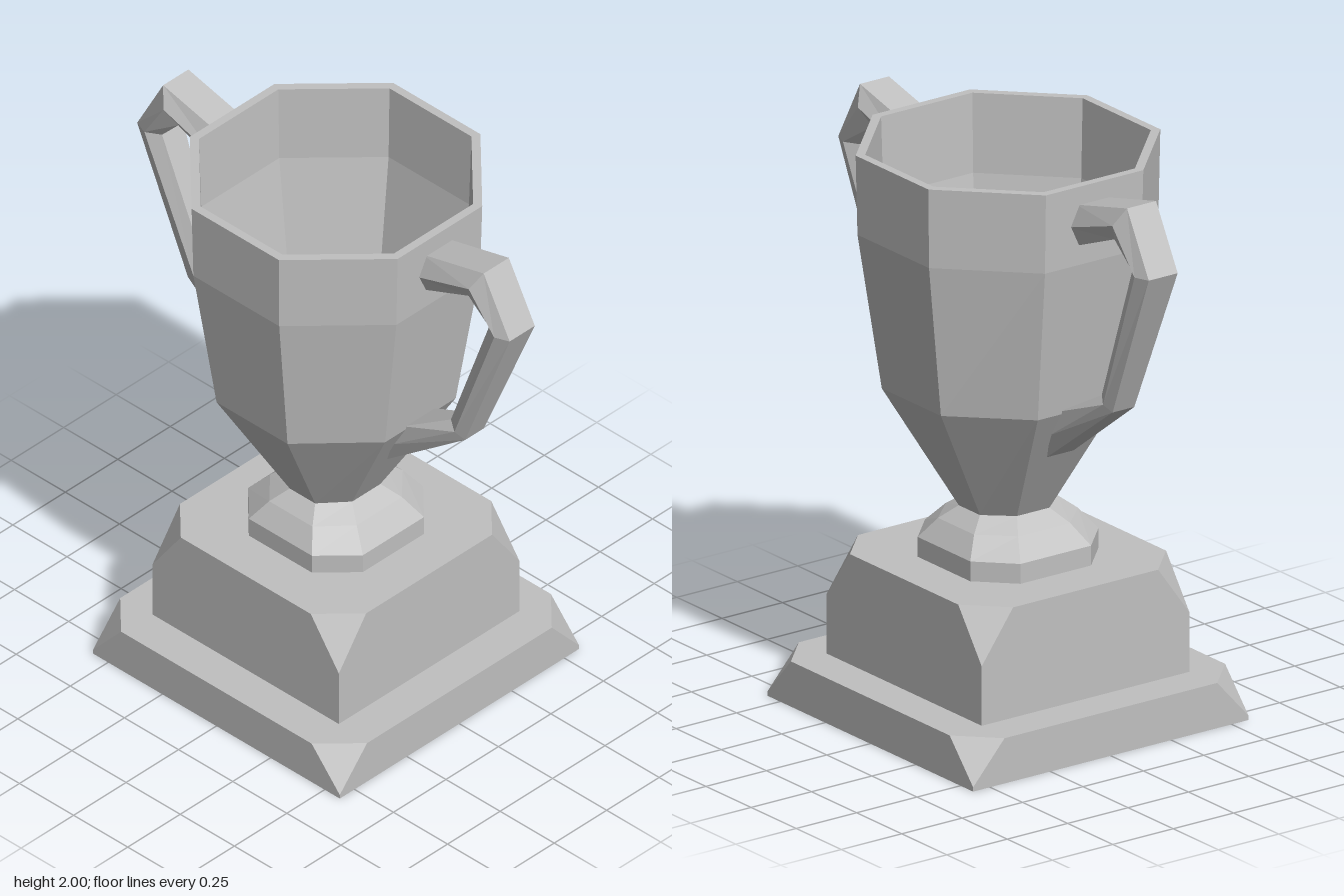
import * as THREE from 'three';
import { ConvexGeometry } from 'three/addons/geometries/ConvexGeometry.js';

// Joins equal-length rings of points into a faceted, capped solid.
function loft(rings) {
  const pos = [];
  const tri = (...pts) => pts.forEach((p) => pos.push(...p));
  const n = rings[0].length;
  for (let i = 0; i < rings.length - 1; i++) {
    for (let j = 0; j < n; j++) {
      const k = (j + 1) % n;
      const a = rings[i][j], b = rings[i][k], c = rings[i + 1][j], d = rings[i + 1][k];
      tri(a, c, b);
      tri(b, c, d);
    }
  }
  const first = rings[0], last = rings[rings.length - 1];
  for (let j = 1; j < n - 1; j++) {
    tri(first[0], first[j], first[j + 1]);
    tri(last[0], last[j + 1], last[j]);
  }
  const geometry = new THREE.BufferGeometry();
  geometry.setAttribute('position', new THREE.Float32BufferAttribute(pos, 3));
  geometry.computeVertexNormals();
  return geometry;
}

// Octagon with flats facing x and z; hx and hz are the half widths.
function octagon(y, hx, hz = hx, corner = 0.42) {
  const cx = hx * corner, cz = hz * corner;
  return [[hx, -cz], [hx, cz], [cx, hz], [-cx, hz], [-hx, cz], [-hx, -cz], [-cx, -hz], [cx, -hz]]
    .map(([x, z]) => [x, y, z]);
}

// Square block whose four top corners are sliced off diagonally.
function cutBlock(half, y0, yCut, y1, cut) {
  const points = [];
  for (const sx of [-1, 1]) {
    for (const sz of [-1, 1]) {
      points.push(
        new THREE.Vector3(sx * half, y0, sz * half),
        new THREE.Vector3(sx * half, yCut, sz * half),
        new THREE.Vector3(sx * (half - cut), y1, sz * half),
        new THREE.Vector3(sx * half, y1, sz * (half - cut)),
      );
    }
  }
  return new ConvexGeometry(points);
}

// Six-sided handle section between an outer and an inner point of the side outline.
function handleRing([ox, oy, ix, iy, outer, middle, inner]) {
  const mx = (ox + ix) / 2, my = (oy + iy) / 2;
  return [
    [ox, oy, outer], [ox, oy, -outer], [mx, my, -middle],
    [ix, iy, -inner], [ix, iy, inner], [mx, my, middle],
  ];
}

export function createModel() {
  const group = new THREE.Group();
  group.name = 'trophyCup';
  const silver = new THREE.MeshStandardMaterial({ color: 0xc0c0c0 });
  silver.name = 'silver grey';

  const add = (name, geometry) => {
    const mesh = new THREE.Mesh(geometry, silver);
    mesh.name = name;
    group.add(mesh);
    return mesh;
  };

  // Stepped plinth
  add('basePlate', cutBlock(0.57, 0, 0.015, 0.16, 0.13));
  add('plinthBlock', cutBlock(0.43, 0.16, 0.37, 0.55, 0.13));

  // Foot under the bowl
  add('foot', loft([
    octagon(0.55, 0.265, 0.265, 0.55),
    octagon(0.62, 0.265, 0.265, 0.55),
    octagon(0.69, 0.2, 0.215, 0.5),
    octagon(0.735, 0.14, 0.16),
  ]));

  // Hollow bowl: up the outside, over the rim and down the inside
  add('bowl', loft([
    octagon(0.735, 0.14, 0.16),
    octagon(1.17, 0.39, 0.4),
    octagon(1.72, 0.472, 0.475),
    octagon(2.0, 0.48),
    octagon(2.0, 0.45),
    octagon(1.72, 0.442),
    octagon(1.19, 0.355),
    octagon(0.83, 0.11),
  ]));

  // Angular handles: outer x, y, inner x, y, then half widths outer, middle, inner
  const handle = loft([
    [0.46, 1.93, 0.46, 1.785, 0.06, 0.095, 0.06],
    [0.74, 2.0, 0.67, 1.87, 0.06, 0.095, 0.06],
    [0.86, 1.78, 0.755, 1.78, 0.06, 0.08, 0.05],
    [0.64, 1.245, 0.56, 1.28, 0.045, 0.055, 0.03],
    [0.29, 0.985, 0.375, 1.175, 0.055, 0.075, 0.07],
  ].map(handleRing));
  add('leftHandle', handle);
  add('rightHandle', handle).rotation.y = Math.PI;

  return group;
}
